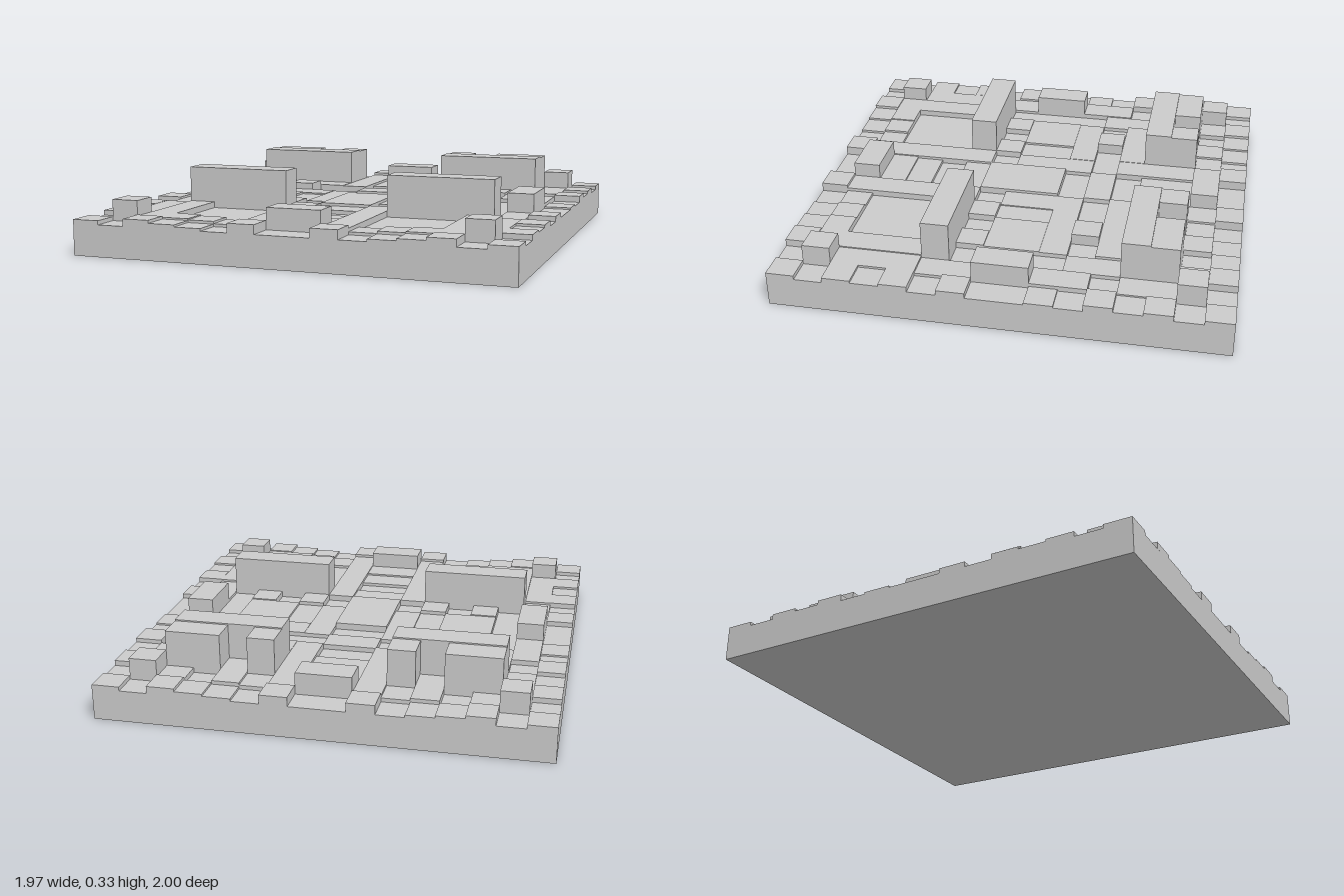
import * as THREE from 'three';

const CX = 0.123, CZ = 0.125, BASE = 0.142;

export function createModel() {
  const model = new THREE.Group();
  const mat = new THREE.MeshStandardMaterial({ color: 0xcccccc, flatShading: true });

  // Box between two corners, given in grid cells, rising from y0 to y1
  const block = (parent, name, c0, c1, r0, r1, y0, y1) => {
    const mesh = new THREE.Mesh(new THREE.BoxGeometry((c1 - c0) * CX, y1 - y0, (r1 - r0) * CZ), mat);
    mesh.position.set((c0 + c1) / 2 * CX, (y0 + y1) / 2, (r0 + r1) / 2 * CZ);
    mesh.name = name;
    parent.add(mesh);
  };

  // Blocks [c0, c1, r0, r1, height], mirrored in x; those starting at 0 span the centre line
  const blocks = (name, list) => {
    const group = new THREE.Group();
    group.name = name + 's';
    for (const [c0, c1, r0, r1, h] of list) {
      if (c0 === 0) block(group, name, -c1, c1, r0, r1, BASE, h);
      else {
        block(group, name, c0, c1, r0, r1, BASE, h);
        block(group, name, -c1, -c0, r0, r1, BASE, h);
      }
    }
    model.add(group);
  };

  block(model, 'baseSlab', -8, 8, -8, 8, 0, BASE);

  // Tall walls: straight at the front, notched at the back
  blocks('tallWall', [
    [2, 6, 2, 3, 0.332],
    [2, 6, -5, -4, 0.333],
    [2, 3, -6, -5, 0.327],
    [4, 6, -6, -5, 0.327],
  ]);

  // Mid-height blocks around the rim
  blocks('rimBlock', [
    [6, 7, 6, 7, 0.237],
    [6, 7, -7, -6, 0.24],
    [6, 7, -1, 1, 0.242],
    [0, 1, 6, 7, 0.238],
    [0, 1, -7, -6, 0.24],
  ]);

  // Low tiles along the front and back edges
  for (const [r0, r1] of [[7, 8], [-8, -7]]) {
    blocks('edgeTile', [
      [1, 2, r0, r1, 0.183], [3, 4, r0, r1, 0.153], [4, 5, r0, r1, 0.162],
      [5, 6, r0, r1, 0.175], [7, 8, r0, r1, 0.16],
    ]);
  }

  // Low tiles along the two sides
  blocks('sideTile', [
    [7, 8, 5, 6, 0.165], [7, 8, 4, 5, 0.155], [7, 8, 3, 4, 0.166],
    [7, 8, 1, 2, 0.165], [7, 8, -2, -1, 0.15], [7, 8, -4, -3, 0.172],
    [7, 8, -5, -4, 0.153], [7, 8, -6, -5, 0.166],
    [6, 7, 3, 6, 0.165], [6, 7, 1, 3, 0.155], [6, 7, -3, -1, 0.165], [6, 7, -6, -4, 0.16],
  ]);

  // Raised lanes running front to back
  blocks('laneTile', [
    [1, 2, 2, 7, 0.17], [1, 2, -7, -3, 0.17], [1, 2, -2, 1, 0.16],
    [5, 6, 3, 7, 0.17], [5, 6, -7, -6, 0.165],
  ]);

  // Low tiles of the courts and the middle
  blocks('courtTile', [
    [0, 1, -1, 2, 0.173], [0, 1, 2, 3, 0.16], [0, 1, 4, 5, 0.157], [0, 1, 5, 6, 0.165],
    [0, 1, -3, -2, 0.165], [0, 1, -6, -4, 0.158],
    [2, 3, 1, 2, 0.172], [4, 5, 1, 2, 0.17], [3, 5, -1, 1, 0.165], [2, 3, -1, 1, 0.155],
    [3, 4, -3, -2, 0.193], [2, 5, -4, -3, 0.172], [5, 6, -4, -2, 0.16],
    [2, 5, -2, -1, 0.162], [2, 3, -7, -6, 0.16], [3, 4, -7, -5, 0.17],
    [3, 4, 6, 7, 0.165], [2, 3, 6, 7, 0.155], [4, 5, 6, 7, 0.17],
  ]);

  return model;
}
